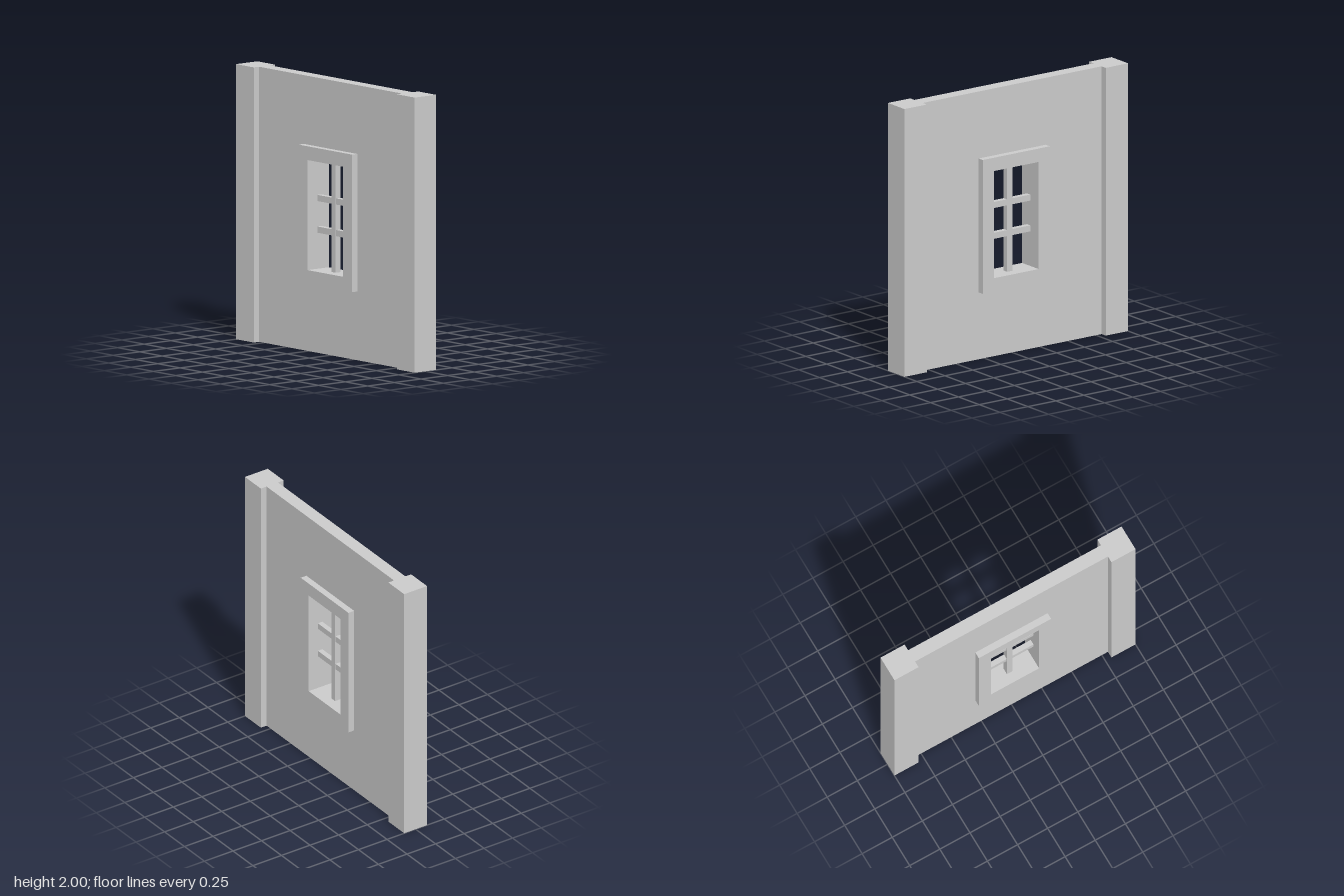
import * as THREE from 'three';

const material = new THREE.MeshStandardMaterial({ color: 0xcccccc, flatShading: true });

function add(group, name, geometry, x = 0, y = 0, z = 0) {
  const mesh = new THREE.Mesh(geometry, material);
  mesh.name = name;
  mesh.position.set(x, y, z);
  group.add(mesh);
}

function rectangle(PathType, halfWidth, bottom, top) {
  return new PathType([
    new THREE.Vector2(-halfWidth, bottom),
    new THREE.Vector2(halfWidth, bottom),
    new THREE.Vector2(halfWidth, top),
    new THREE.Vector2(-halfWidth, top),
  ]);
}

// Upright slab in the z-y plane with a rectangular opening, centred on x = 0
function slabWithOpening(outer, inner, depth) {
  const shape = rectangle(THREE.Shape, ...outer);
  shape.holes.push(rectangle(THREE.Path, ...inner));
  return new THREE.ExtrudeGeometry(shape, { depth, bevelEnabled: false })
    .translate(0, 0, -depth / 2)
    .rotateY(Math.PI / 2);
}

export function createModel() {
  const model = new THREE.Group();
  model.name = 'windowWall';

  // Wall panel and the thicker window frame set into it
  add(model, 'wallPanel', slabWithOpening([0.8, 0, 2], [0.3, 0.5, 1.5], 0.1));
  add(model, 'windowFrame', slabWithOpening([0.3, 0.5, 1.5], [0.2, 0.6, 1.4], 0.2));

  // Posts at both ends
  for (const side of [1, -1]) {
    add(model, side > 0 ? 'frontPost' : 'backPost', new THREE.BoxGeometry(0.2, 2, 0.2), 0, 1, side * 0.9);
  }

  // Window bars: the crossbars stop just short of the rear jamb
  add(model, 'mullion', new THREE.BoxGeometry(0.046, 0.8, 0.046), 0, 1, 0.001);
  for (const y of [0.888, 1.118]) {
    add(model, 'crossbar', new THREE.BoxGeometry(0.04, 0.045, 0.39), 0, y, 0.01);
  }

  return model;
}
